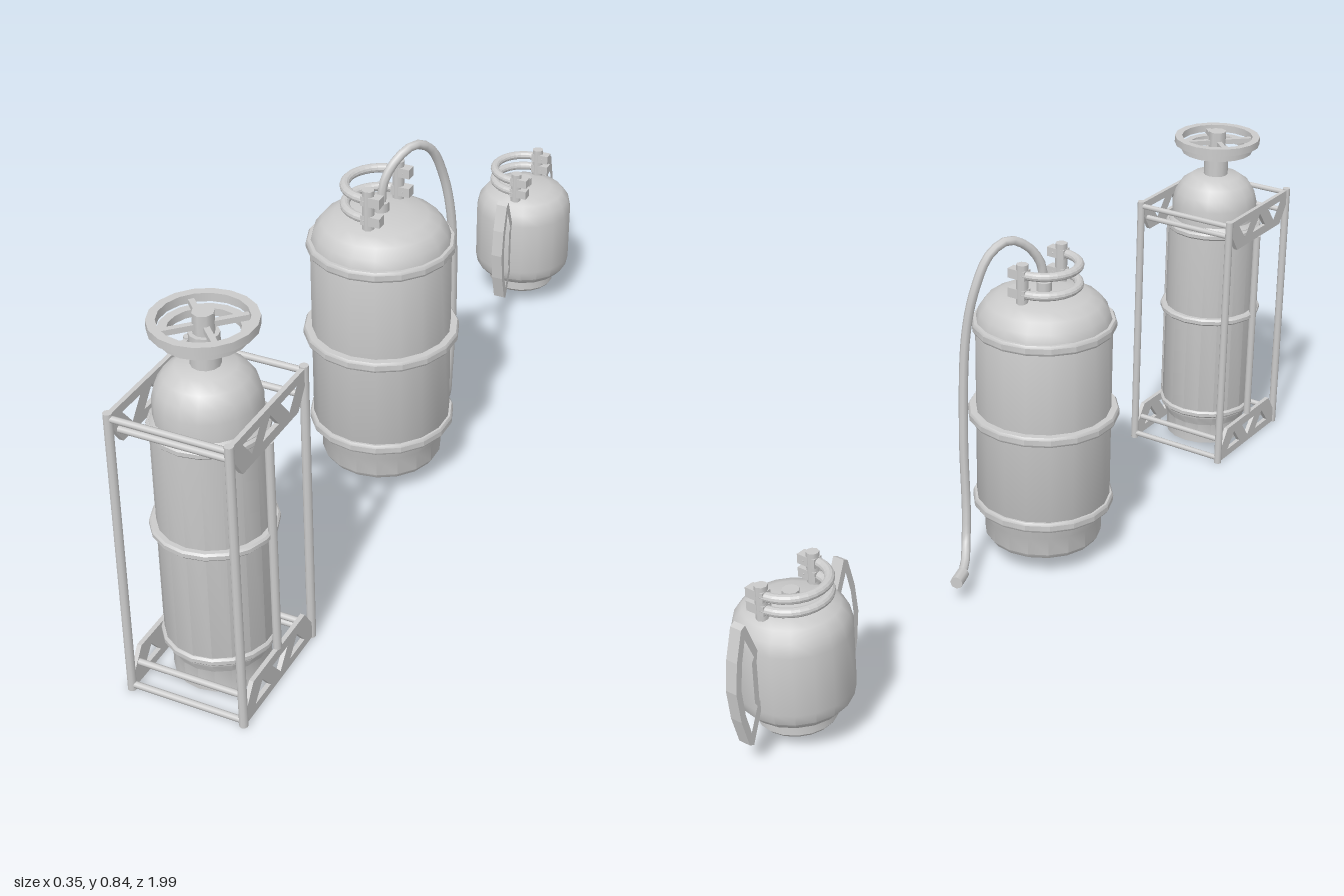
import * as THREE from 'three';
import { toCreasedNormals } from 'three/addons/utils/BufferGeometryUtils.js';

const material = new THREE.MeshStandardMaterial({ color: 0xcccccc });

function add(parent, name, geometry, x = 0, y = 0, z = 0) {
  const mesh = new THREE.Mesh(geometry, material);
  mesh.name = name;
  mesh.position.set(x, y, z);
  parent.add(mesh);
  return mesh;
}

// Turned part from [radius, height] pairs, listed bottom to top
function turned(profile, sides = 18) {
  const points = profile.map(([r, y]) => new THREE.Vector2(r, y));
  return toCreasedNormals(new THREE.LatheGeometry(points, sides), 0.6);
}

// Flat-sided band around an upright axis
function band(inner, outer, height, sides = 18) {
  const h = height / 2;
  return turned([[inner, -h], [outer, -h], [outer, h], [inner, h], [inner, -h]], sides);
}

// Rounded hoop pressed on a tank wall
function hoop(wall, outer, height) {
  const h = height / 2;
  return turned([[wall - 0.004, -h], [outer - 0.004, -h], [outer, -h * 0.5],
    [outer, h * 0.5], [outer - 0.004, h], [wall - 0.004, h]]);
}

const rod = (radius, length, sides = 10) => new THREE.CylinderGeometry(radius, radius, length, sides);

// Outline in the z-y plane, given thickness along x
function sidePlate(outline, holes, thickness) {
  const vectors = (list) => list.map(([z, y]) => new THREE.Vector2(z, y));
  const shape = new THREE.Shape(vectors(outline));
  holes.forEach((h) => shape.holes.push(new THREE.Path(vectors(h))));
  const geometry = new THREE.ExtrudeGeometry(shape, { depth: thickness, bevelEnabled: false });
  return geometry.translate(0, 0, -thickness / 2).rotateY(-Math.PI / 2);
}

// Two C-shaped guard rings open towards +x, with end posts and a valve
function addCollar(tank, base, levels, top) {
  const reach = 0.079;
  const half = Math.PI * 0.6;
  for (const y of levels) {
    const section = new THREE.Shape();
    section.absellipse(0, 0, 0.01, 0.011, 0, Math.PI * 2);
    const path = new THREE.CatmullRomCurve3(Array.from({ length: 13 }, (_, i) => {
      const a = Math.PI - half + (2 * half * i) / 12;
      return new THREE.Vector3(Math.cos(a) * reach, 0, Math.sin(a) * reach);
    }));
    add(tank, 'collarRing', new THREE.ExtrudeGeometry(section,
      { steps: 18, curveSegments: 6, extrudePath: path, bevelEnabled: false }), 0, y);
  }
  for (const side of [-1, 1]) {
    add(tank, 'collarPost', rod(0.014, top - base, 8), 0.006, (top + base) / 2, side * 0.077);
    for (const y of levels)
      add(tank, 'collarClamp', new THREE.BoxGeometry(0.045, 0.022, 0.024), 0.015, y, side * 0.077);
  }
  add(tank, 'valve', rod(0.018, 0.035), 0, base + 0.012);
}

function createCagedTank() {
  const tank = new THREE.Group();
  tank.name = 'cagedTank';
  add(tank, 'tankBody', turned([[0, 0.008], [0.1, 0.008], [0.1, 0.06], [0.114, 0.085], [0.114, 0.605],
    [0.106, 0.615], [0.106, 0.655], [0.099, 0.682], [0.084, 0.705], [0.06, 0.722], [0, 0.727]]));
  for (const [y, outer] of [[0.098, 0.12], [0.365, 0.128], [0.595, 0.12]])
    add(tank, 'tankHoop', hoop(0.114, outer, 0.017), 0, y);

  // Neck and hand wheel
  add(tank, 'neck', rod(0.03, 0.075, 12), 0, 0.755);
  add(tank, 'wheelHub', rod(0.022, 0.05, 8), 0, 0.811);
  add(tank, 'wheelRim', band(0.088, 0.106, 0.018), 0, 0.814);
  add(tank, 'wheelInnerRim', band(0.07, 0.088, 0.016), 0, 0.793);
  for (let i = 0; i < 4; i++) {
    const a = Math.PI / 4 + (i * Math.PI) / 2;
    const spoke = add(tank, 'wheelSpoke', new THREE.BoxGeometry(0.078, 0.012, 0.012),
      Math.cos(a) * 0.055, 0.808, Math.sin(a) * 0.055);
    spoke.rotation.y = -a;
  }

  // Cage posts and cross rails
  const cage = new THREE.Group();
  cage.name = 'cage';
  tank.add(cage);
  for (const x of [-0.127, 0.127]) {
    for (const z of [-0.147, 0.147]) add(cage, 'cornerPost', rod(0.0095, 0.667), x, 0.3335, z);
    add(cage, 'sidePost', rod(0.009, 0.5), x, 0.3335, 0);
  }
  for (const side of [-1, 1])
    for (const [y, z] of [[0.655, 0.147], [0.617, 0.122], [0.052, 0.122], [0.013, 0.147]])
      add(cage, 'crossRail', rod(0.007, 0.254, 8).rotateZ(Math.PI / 2), 0, y, side * z);

  // Pierced side plates; v runs inwards from the cage end
  for (const flip of [false, true]) {
    const place = (list) => list.map(([z, v]) => [z, flip ? v : 0.667 - v]);
    const outline = place([[-0.15, 0.003], [0.15, 0.003], [0.15, 0.025], [0.11, 0.084], [-0.11, 0.084], [-0.15, 0.025]]);
    const holes = [-0.074, 0, 0.074].map((z, i) => {
      const [wide, tip] = i === 1 ? [0.062, 0.022] : [0.022, 0.062];
      return place([[z - 0.032, wide], [z + 0.032, wide], [z, tip]]);
    });
    for (const x of [-0.127, 0.127]) add(cage, 'sidePlate', sidePlate(outline, holes, 0.01), x);
  }
  return tank;
}

function createHoseTank() {
  const tank = new THREE.Group();
  tank.name = 'hoseTank';
  add(tank, 'tankBody', turned([[0, 0.05], [0.13, 0.05], [0.138, 0.062], [0.138, 0.105], [0.157, 0.14],
    [0.157, 0.6], [0.149, 0.628], [0.132, 0.65], [0.105, 0.664], [0.06, 0.672], [0, 0.674]]));
  for (const [y, outer] of [[0.148, 0.166], [0.374, 0.176], [0.595, 0.166]])
    add(tank, 'tankHoop', hoop(0.157, outer, 0.024), 0, y);
  addCollar(tank, 0.665, [0.69, 0.736], 0.76);

  // Hose arching over the shoulder and down the back
  const path = new THREE.CatmullRomCurve3([
    [0, 0.67, 0], [0.004, 0.74, -0.008], [0.022, 0.785, -0.035], [0.045, 0.806, -0.075],
    [0.065, 0.782, -0.118], [0.08, 0.71, -0.152], [0.094, 0.6, -0.17], [0.095, 0.36, -0.183],
    [0.085, 0.16, -0.19], [0.074, 0.09, -0.208], [0.05, 0.062, -0.245], [0.034, 0.055, -0.28],
  ].map((p) => new THREE.Vector3(...p)));
  add(tank, 'hose', new THREE.TubeGeometry(path, 44, 0.0105, 8));
  const nozzle = add(tank, 'hoseNozzle', rod(0.015, 0.045, 8).rotateX(Math.PI / 2), 0.028, 0.055, -0.295);
  nozzle.rotation.y = 0.3;
  return tank;
}

function createHandledTank() {
  const tank = new THREE.Group();
  tank.name = 'handledTank';
  add(tank, 'tankBody', turned([[0, 0.038], [0.078, 0.038], [0.084, 0.045], [0.084, 0.07], [0.104, 0.078],
    [0.119, 0.095], [0.124, 0.12], [0.124, 0.255], [0.117, 0.285], [0.1, 0.305], [0.07, 0.316], [0, 0.32]]));
  addCollar(tank, 0.31, [0.334, 0.365], 0.387);

  // Bow-shaped carrying handles on both ends
  const outline = [[0.115, 0.255], [0.148, 0.338], [0.16, 0.332], [0.178, 0.265], [0.186, 0.197],
    [0.178, 0.127], [0.16, 0.062], [0.148, 0.056], [0.115, 0.14], [0.124, 0.15], [0.124, 0.245]];
  const hole = [[0.13, 0.255], [0.152, 0.306], [0.165, 0.255], [0.171, 0.197], [0.165, 0.139], [0.152, 0.088],
    [0.13, 0.14], [0.137, 0.15], [0.137, 0.245]];
  for (const turn of [0, Math.PI])
    add(tank, 'handle', sidePlate(outline, [hole], 0.028)).rotation.y = turn;
  return tank;
}

export function createModel() {
  const model = new THREE.Group();
  model.name = 'gasTanks';
  const caged = createCagedTank();
  caged.position.z = 0.839;
  const hose = createHoseTank();
  hose.position.z = 0.074;
  const handled = createHandledTank();
  handled.position.z = -0.813;
  model.add(caged, hose, handled);
  return model;
}
